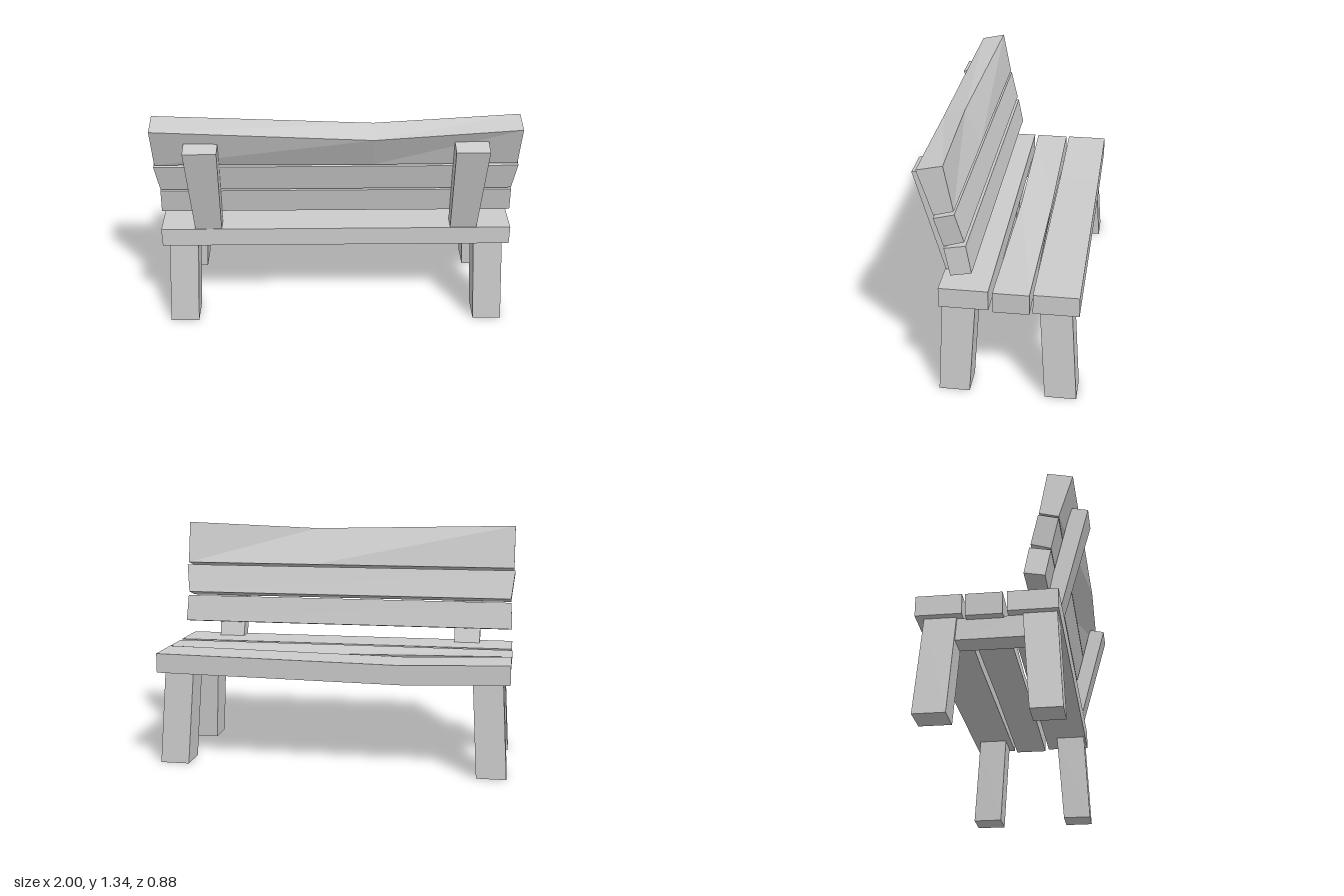
import * as THREE from 'three';

const material = new THREE.MeshStandardMaterial({ color: 0xcccccc, flatShading: true });

// Solid beam through a row of four-cornered rings, capped at both ends
function beam(name, rings) {
  const pos = [];
  const quad = (a, b, c, d) => [a, b, c, a, c, d].forEach((p) => pos.push(...p));
  quad(...rings[0]);
  for (let r = 0; r + 1 < rings.length; r++) {
    const a = rings[r], b = rings[r + 1];
    for (let i = 0; i < 4; i++) {
      const j = (i + 1) % 4;
      quad(a[i], b[i], b[j], a[j]);
    }
  }
  quad(...[...rings[rings.length - 1]].reverse());
  const geo = new THREE.BufferGeometry();
  geo.setAttribute('position', new THREE.Float32BufferAttribute(pos, 3));
  geo.computeVertexNormals();
  const mesh = new THREE.Mesh(geo, material);
  mesh.name = name;
  return mesh;
}

// Plank along x. Sections list [z, y] corners: +z top, -z top, -z bottom, +z bottom.
// topX / bottomX give slightly slanted ends; bend = { x, section } warps the middle.
function plank(name, section, topX, bottomX, bend) {
  const end = (s) => section.map(([z, y], i) => [s * (i < 2 ? topX : bottomX), y, z]);
  const rings = [end(-1), end(1)];
  if (bend) rings.splice(1, 0, bend.section.map(([z, y]) => [bend.x, y, z]));
  return beam(name, rings);
}

// Upright ring at height y; zTilt lifts the -z side for a sloping cut
function level(side, y, x0, x1, z0, z1, zTilt = 0) {
  const [a, b] = side > 0 ? [x0, x1] : [-x1, -x0];
  return [[a, y + zTilt, z0], [b, y + zTilt, z0], [b, y, z1], [a, y, z1]];
}

const rect = (zHi, zLo, yHi, yLo) => [[zHi, yHi], [zLo, yHi], [zLo, yLo], [zHi, yLo]];

export function createModel() {
  const bench = new THREE.Group();
  bench.name = 'bench';

  // Seat: straight plank, twisted plank, sagging plank
  bench.add(
    plank('seatPlankRear', rect(0.29, 0.03, 0.64, 0.53), 0.993, 0.993),
    plank('seatPlankMiddle', rect(0.008, -0.183, 0.637, 0.518), 0.997, 0.99, {
      x: 0, section: [[-0.01, 0.642], [-0.188, 0.622], [-0.17, 0.497], [0.012, 0.515]],
    }),
    plank('seatPlankFront', rect(-0.2, -0.44, 0.64, 0.53), 0.993, 0.993, {
      x: -0.4, section: rect(-0.2, -0.44, 0.62, 0.51),
    }),
  );

  // Backrest: three leaning slats, the top one dipping off-centre
  bench.add(
    plank('backSlatTop', [[0.375, 1.307], [0.24, 1.336], [0.194, 1.092], [0.297, 1.064]], 0.993, 0.993, {
      x: 0.2, section: [[0.395, 1.262], [0.275, 1.305], [0.194, 1.092], [0.297, 1.06]],
    }),
    plank('backSlatMiddle', [[0.297, 1.05], [0.19, 1.078], [0.148, 0.915], [0.254, 0.883]], 1, 0.98),
    plank('backSlatBottom', [[0.254, 0.873], [0.141, 0.894], [0.113, 0.742], [0.223, 0.721]], 0.982, 0.99),
  );

  // Splayed legs and leaning back posts, mirrored
  for (const side of [-1, 1]) {
    const label = side > 0 ? 'Left' : 'Right';
    bench.add(
      beam('rearLeg' + label, [level(side, 0, 0.82, 0.985, 0.14, 0.305), level(side, 0.53, 0.79, 0.955, 0.105, 0.28)]),
      beam('frontLeg' + label, [level(side, 0, 0.82, 0.985, -0.435, -0.265), level(side, 0.53, 0.79, 0.955, -0.4, -0.232)]),
      beam('backPost' + label, [level(side, 0.635, 0.65, 0.8, 0.194, 0.284), level(side, 1.208, 0.635, 0.817, 0.35, 0.44, 0.02)]),
    );
  }

  // Single cross bar tying the right legs together
  const bar = new THREE.Mesh(new THREE.BoxGeometry(0.13, 0.12, 0.39), material);
  bar.name = 'crossBar';
  bar.position.set(-0.878, 0.467, -0.065);
  bench.add(bar);

  return bench;
}
